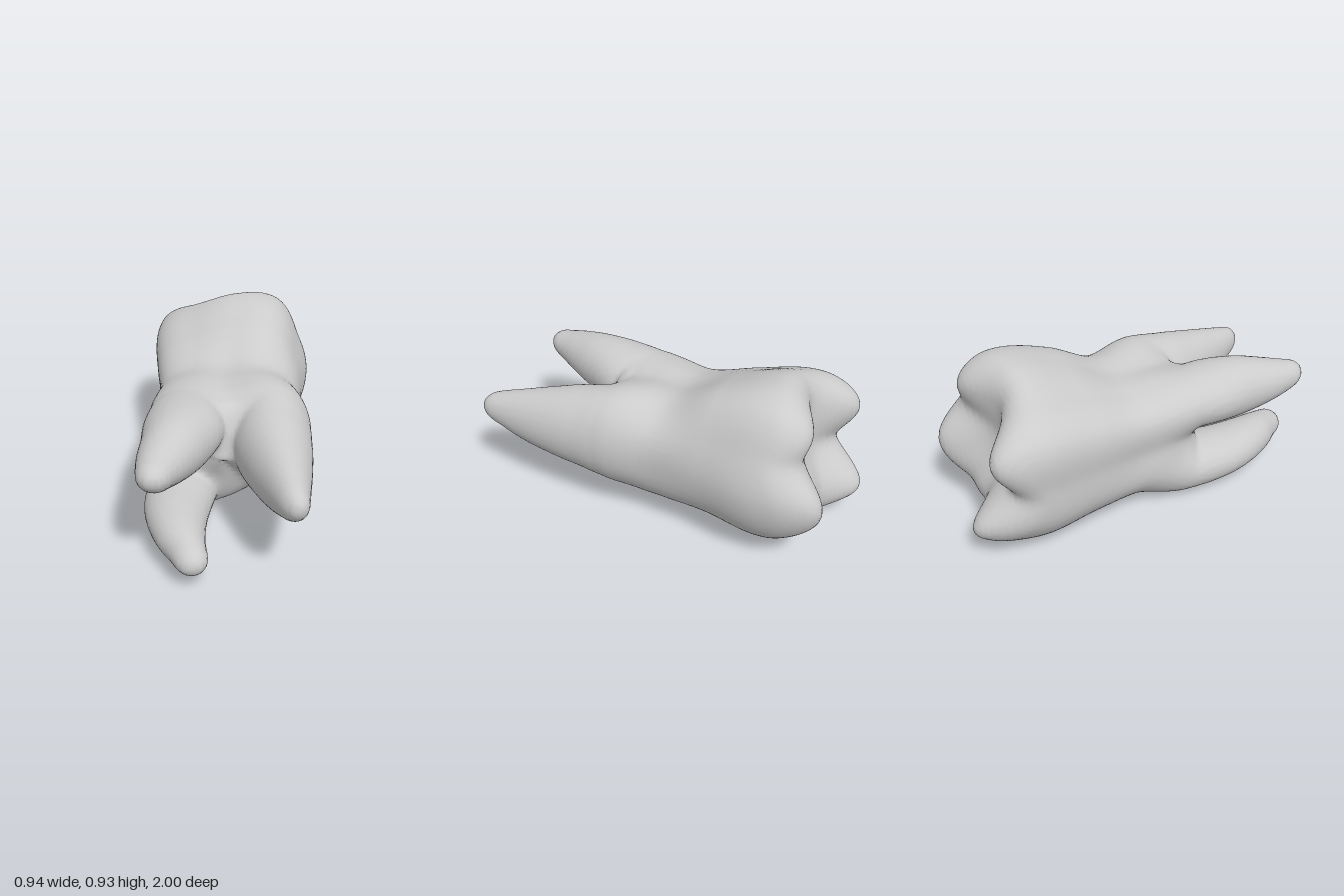
import * as THREE from 'three';

// Crown, neck and trunk sections: z, centre y, then radii every 30 degrees from +x
const BODY = [
  [-0.95, 0.45, 0.40, 0.40, 0.44, 0.40, 0.42, 0.50, 0.45, 0.46, 0.43, 0.38, 0.37, 0.39],
  [-0.65, 0.45, 0.445, 0.445, 0.51, 0.48, 0.465, 0.52, 0.465, 0.495, 0.49, 0.44, 0.43, 0.44],
  [-0.35, 0.43, 0.41, 0.43, 0.465, 0.41, 0.405, 0.465, 0.42, 0.45, 0.44, 0.385, 0.38, 0.40],
  [-0.1, 0.4, 0.395, 0.42, 0.38, 0.32, 0.35, 0.415, 0.365, 0.41, 0.395, 0.345, 0.345, 0.38],
  [0.13, 0.4, 0.42, 0.44, 0.375, 0.305, 0.34, 0.41, 0.35, 0.41, 0.42, 0.37, 0.335, 0.37],
  [0.25, 0.4, 0.38, 0.40, 0.33, 0.28, 0.30, 0.37, 0.29, 0.36, 0.37, 0.31, 0.26, 0.31],
  [0.34, 0.4, 0.22, 0.24, 0.22, 0.22, 0.20, 0.22, 0.17, 0.18, 0.17, 0.12, 0.08, 0.14],
  [0.44, 0.4, ...new Array(12).fill(-0.1)],
];

// Root sections: z, centre x, centre y, half width, half height
const ROOTS = [
  // upper right
  [[-0.1, -0.14, 0.54, 0.12, 0.1], [0.15, -0.185, 0.56, 0.18, 0.145], [0.4, -0.19, 0.565, 0.205, 0.165],
    [0.6, -0.215, 0.567, 0.165, 0.16], [0.75, -0.245, 0.572, 0.13, 0.125], [0.88, -0.267, 0.58, 0.09, 0.085],
    [0.98, -0.272, 0.592, 0.06, 0.055]],
  // left
  [[-0.1, 0.18, 0.48, 0.12, 0.14], [0.15, 0.24, 0.465, 0.2, 0.265], [0.4, 0.265, 0.462, 0.2, 0.237],
    [0.6, 0.303, 0.46, 0.16, 0.193], [0.75, 0.335, 0.464, 0.12, 0.152], [0.88, 0.362, 0.478, 0.085, 0.105],
    [1.0, 0.392, 0.49, 0.05, 0.06]],
  // lower right
  [[-0.1, -0.14, 0.22, 0.12, 0.1], [0.15, -0.19, 0.165, 0.18, 0.15], [0.3, -0.21, 0.16, 0.185, 0.145],
    [0.5, -0.22, 0.162, 0.172, 0.132], [0.65, -0.205, 0.165, 0.15, 0.122], [0.8, -0.165, 0.164, 0.12, 0.103],
    [0.92, -0.11, 0.152, 0.088, 0.078], [1.0, -0.095, 0.145, 0.07, 0.062]],
];

// Cusps and ridges of the chewing surface: x, y, height
const CUSPS = [
  [-0.28, 0.19, 0.285], [0.31, 0.43, 0.23], [0.27, 0.31, 0.2],
  [-0.4, 0.63, 0.2], [0.23, 0.77, 0.14], [0.04, 0.24, 0.14],
];

function biteHeight(x, y) {
  let sum = 0;
  for (const [cx, cy, h] of CUSPS) {
    sum += (h * Math.exp(-((x - cx) ** 2 + (y - cy) ** 2) / 0.045)) ** 3;
  }
  return 0.73 + Math.cbrt(sum);
}

// Maximum and minimum with a rounded transition of width k
function smoothMax(a, b, k) {
  const h = Math.max(k - Math.abs(a - b), 0) / k;
  return Math.max(a, b) + h * h * k * 0.25;
}
const smoothMin = (a, b, k) => -smoothMax(-a, -b, k);

// Smooth interpolation of section rows along z
function along(rows) {
  const values = rows.flatMap((row) => row.slice(1));
  return new THREE.CubicInterpolant(rows.map((row) => row[0]), values, rows[0].length - 1);
}

// Smooth closed radius curve through evenly spaced radii
function radiusAt(radii, angle) {
  const n = radii.length, u = (angle / (Math.PI * 2) + 1) * n;
  const i = Math.floor(u), t = u - i;
  const [a, b, c, d] = [-1, 0, 1, 2].map((o) => radii[(i + o) % n]);
  return b + 0.5 * t * (c - a + t * (2 * a - 5 * b + 4 * c - d + t * (3 * (b - c) + d - a)));
}

// Returns a function giving the signed distance to the tooth within one slice at z
function sliceField(z, body, roots) {
  const [cy, ...radii] = body.evaluate(z);
  const sections = roots.map((root) => [...root.evaluate(z)]);
  return (x, y) => {
    const side = Math.hypot(x, y - cy) - radiusAt(radii, Math.atan2(y - cy, x));
    let f = smoothMax(side, -z - biteHeight(x, y), 0.14);
    sections.forEach(([rx, ry, w, h], i) => {
      const rows = ROOTS[i], tip = rows[rows.length - 1][0];
      const wall = (Math.hypot((x - rx) / w, (y - ry) / h) - 1) * Math.sqrt(w * h);
      const root = smoothMax(wall, Math.max(z - tip, rows[0][0] - z), 0.09);
      f = smoothMin(f, root, 0.08);
    });
    return f;
  };
}

// Skins the zero surface of a sliced field with one vertex per crossed grid cell
function skinField(makeSlice, min, size, step) {
  const n = size.map((s) => Math.ceil(s / step) + 1);
  const stride = [1, n[0], n[0] * n[1]];
  const value = new Float32Array(n[0] * n[1] * n[2]);
  for (let k = 0, c = 0; k < n[2]; k++) {
    const field = makeSlice(min[2] + k * step);
    for (let j = 0; j < n[1]; j++) {
      for (let i = 0; i < n[0]; i++) value[c++] = field(min[0] + i * step, min[1] + j * step);
    }
  }

  // Moves a point onto the exact surface along the field's slope
  const settle = (p) => {
    const e = 0.004;
    for (let pass = 0; pass < 3; pass++) {
      const here = makeSlice(p.z), f = here(p.x, p.y);
      const slope = new THREE.Vector3(
        here(p.x + e, p.y) - here(p.x - e, p.y),
        here(p.x, p.y + e) - here(p.x, p.y - e),
        makeSlice(p.z + e)(p.x, p.y) - makeSlice(p.z - e)(p.x, p.y),
      ).divideScalar(2 * e);
      const move = THREE.MathUtils.clamp(-f / slope.length(), -step / 3, step / 3);
      p.addScaledVector(slope.normalize(), move);
    }
    return p;
  };

  const crosses = (a, b) => (value[a] < 0) !== (value[b] < 0);
  const vertex = new Map(), pos = [], index = [];
  const eachCell = (visit) => {
    for (let k = 1; k < n[2] - 1; k++) {
      for (let j = 1; j < n[1] - 1; j++) {
        for (let i = 1; i < n[0] - 1; i++) visit([i, j, k], i + j * stride[1] + k * stride[2]);
      }
    }
  };

  // Vertices at the mean of each cell's edge crossings
  eachCell((cell, c) => {
    const sum = [0, 0, 0];
    let hits = 0;
    for (let d = 0; d < 3; d++) {
      const e = (d + 1) % 3, f = (d + 2) % 3;
      for (const [u, v] of [[0, 0], [1, 0], [0, 1], [1, 1]]) {
        const a = c + u * stride[e] + v * stride[f], b = a + stride[d];
        if (!crosses(a, b)) continue;
        sum[d] += value[a] / (value[a] - value[b]);
        sum[e] += u;
        sum[f] += v;
        hits++;
      }
    }
    if (!hits) return;
    vertex.set(c, pos.length / 3);
    pos.push(...settle(new THREE.Vector3(...cell.map((g, d) => min[d] + (g + sum[d] / hits) * step))));
  });

  // A quad around every crossed grid edge
  eachCell((cell, c) => {
    for (let d = 0; d < 3; d++) {
      if (!crosses(c, c + stride[d])) continue;
      const e = stride[(d + 1) % 3], f = stride[(d + 2) % 3];
      const quad = [c - e - f, c - f, c, c - e].map((id) => vertex.get(id));
      if (value[c] >= 0) quad.reverse();
      index.push(quad[0], quad[1], quad[2], quad[0], quad[2], quad[3]);
    }
  });

  const geo = new THREE.BufferGeometry();
  geo.setAttribute('position', new THREE.Float32BufferAttribute(pos, 3));
  geo.setIndex(index);
  geo.computeVertexNormals();
  return geo;
}

export function createModel() {
  const body = along(BODY), roots = ROOTS.map(along);
  const geo = skinField((z) => sliceField(z, body, roots), [-0.57, -0.1, -1.12], [1.14, 1.14, 2.22], 0.02);
  const molar = new THREE.Mesh(geo, new THREE.MeshStandardMaterial({ color: 0xcccccc }));
  molar.name = 'crownAndRoots';
  const tooth = new THREE.Group();
  tooth.name = 'tooth';
  tooth.add(molar);
  return tooth;
}
